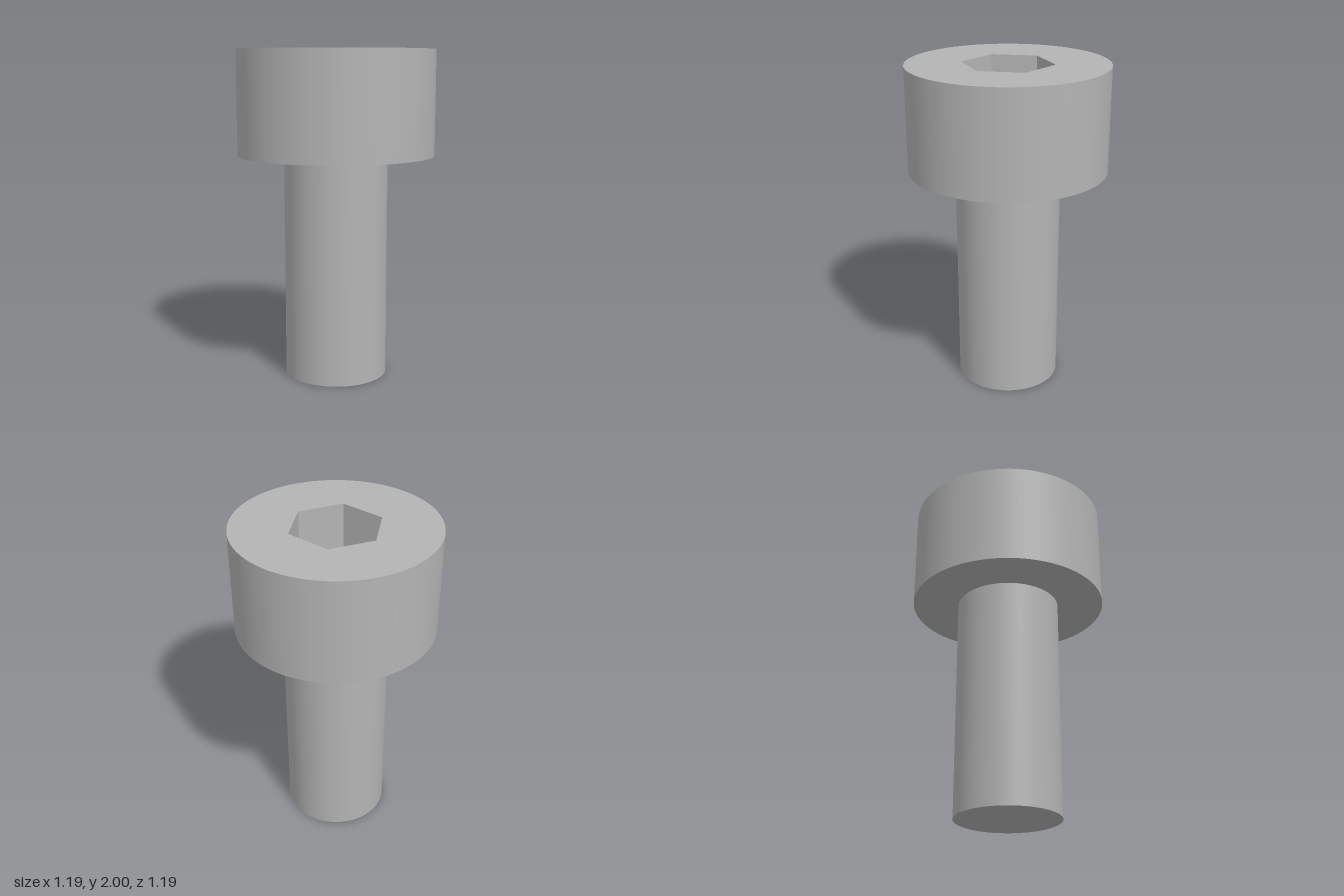
import * as THREE from 'three';

const HEAD_R = 0.597, SHANK_R = 0.315, HEX_R = 0.275;
const TOP = 2, SEAT = 1.37, SOCKET_DEPTH = 0.315, SIDES = 96;

export function createModel() {
  const group = new THREE.Group();
  const steel = new THREE.MeshStandardMaterial({ color: 0xb4b4b4 });
  steel.name = 'steel grey';

  const add = (name, geometry, y) => {
    const mesh = new THREE.Mesh(geometry, steel);
    mesh.name = name;
    mesh.position.y = y;
    group.add(mesh);
  };
  const wall = (r, h) => new THREE.CylinderGeometry(r, r, h, SIDES, 1, true);
  const faceUp = (g) => g.rotateX(-Math.PI / 2);
  const faceDown = (g) => g.rotateX(Math.PI / 2);

  // Shank with its flat tip
  add('shankWall', wall(SHANK_R, SEAT), SEAT / 2);
  add('shankTip', faceDown(new THREE.CircleGeometry(SHANK_R, SIDES)), 0);

  // Cylindrical head and its bearing face
  add('headWall', wall(HEAD_R, TOP - SEAT), (TOP + SEAT) / 2);
  add('headUnderside', faceDown(new THREE.RingGeometry(SHANK_R, HEAD_R, SIDES)), SEAT);

  // Head top with a hexagonal opening
  const top = new THREE.Shape().absarc(0, 0, HEAD_R, 0, Math.PI * 2, false);
  const corners = Array.from({ length: 6 }, (_, i) => new THREE.Vector2(
    HEX_R * Math.cos(i * Math.PI / 3), HEX_R * Math.sin(i * Math.PI / 3)));
  top.holes.push(new THREE.Path(corners));
  add('headTop', faceUp(new THREE.ShapeGeometry(top, SIDES / 2)), TOP);

  // Hex socket: mirroring the tube turns its flat walls inward
  const socket = new THREE.CylinderGeometry(HEX_R, HEX_R, SOCKET_DEPTH, 6, 1, true, Math.PI / 2)
    .toNonIndexed().scale(1, 1, -1);
  // Restore front faces after the mirror by swapping two corners of each triangle
  const p = socket.attributes.position;
  const a = new THREE.Vector3(), b = new THREE.Vector3(), c = new THREE.Vector3();
  for (let i = 0; i < p.count; i += 3) {
    a.fromBufferAttribute(p, i);
    b.fromBufferAttribute(p, i + 1);
    c.fromBufferAttribute(p, i + 2);
    const normal = b.clone().sub(a).cross(c.clone().sub(a));
    if (normal.x * (a.x + b.x + c.x) + normal.z * (a.z + b.z + c.z) > 0) {
      p.setXYZ(i + 1, c.x, c.y, c.z);
      p.setXYZ(i + 2, b.x, b.y, b.z);
    }
  }
  socket.computeVertexNormals();
  add('socketWalls', socket, TOP - SOCKET_DEPTH / 2);
  add('socketFloor', faceUp(new THREE.CircleGeometry(HEX_R, 6)), TOP - SOCKET_DEPTH);

  return group;
}
